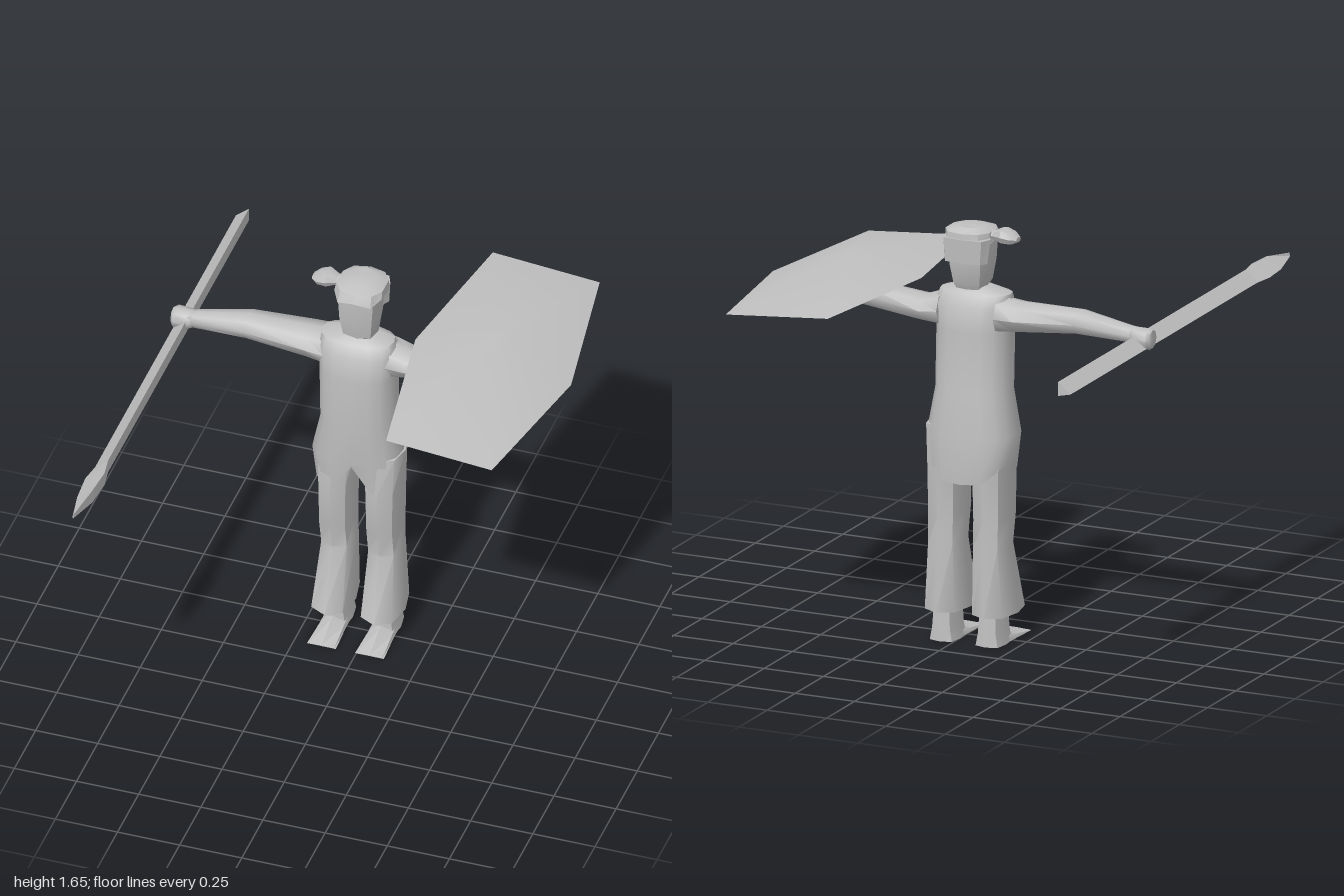
import * as THREE from 'three';
import { toCreasedNormals } from 'three/addons/utils/BufferGeometryUtils.js';

const grey = new THREE.MeshStandardMaterial({ color: 0xc0c0c0, side: THREE.DoubleSide });
grey.name = 'plain grey';

// Skin a list of equal-length rings of [x, y, z]; optionally close each end with a fan.
function loft(rings, { capStart = true, capEnd = true, crease = 0.9 } = {}) {
  const n = rings[0].length;
  const pos = rings.flat(2);
  const index = [];
  for (let r = 0; r < rings.length - 1; r++) {
    for (let i = 0; i < n; i++) {
      const a = r * n + i, b = r * n + (i + 1) % n;
      index.push(a, b, b + n, a, b + n, a + n);
    }
  }
  const cap = (r, flip) => {
    const c = pos.length / 3;
    for (let k = 0; k < 3; k++) pos.push(rings[r].reduce((s, p) => s + p[k], 0) / n);
    for (let i = 0; i < n; i++) {
      const a = r * n + i, b = r * n + (i + 1) % n;
      if (flip) index.push(c, b, a);
      else index.push(c, a, b);
    }
  };
  if (capStart) cap(0, true);
  if (capEnd) cap(rings.length - 1, false);
  const g = new THREE.BufferGeometry();
  g.setAttribute('position', new THREE.Float32BufferAttribute(pos, 3));
  g.setIndex(index);
  return toCreasedNormals(g, crease);
}

// Rounded-square ring points; "power" below 1 makes the outline boxier.
const ringOf = (n, power, turn, fn) => Array.from({ length: n }, (_, i) => {
  const a = (i / n) * Math.PI * 2 + turn;
  const soft = v => Math.sign(v) * Math.abs(v) ** power;
  return fn(soft(Math.sin(a)), soft(Math.cos(a)), i);
});

// Upright ring from x0..x1 and zBack..zFront
const level = (y, x0, x1, zb, zf, n = 8, power = 0.8, turn = 0) => ringOf(n, power, turn, (s, c) =>
  [(x0 + x1) / 2 + s * (x1 - x0) / 2, y, (zb + zf) / 2 + c * (zf - zb) / 2]);

// Ring across an arm
const slice = (x, y0, y1, zb, zf) => ringOf(8, 0.9, 0, (s, c) =>
  [x, (y0 + y1) / 2 + c * (y1 - y0) / 2, (zb + zf) / 2 + s * (zf - zb) / 2]);

export function createModel() {
  const model = new THREE.Group();
  model.name = 'figure';
  const add = (name, geometry, parent = model) => {
    const m = new THREE.Mesh(geometry, grey);
    m.name = name;
    parent.add(m);
    return m;
  };

  // Tunic with a ragged hem, slit in front and longer behind
  const hemY = [0.82, 0.70, 0.76, 0.70, 0.72, 0.74, 0.70, 0.65, 0.645, 0.65, 0.69, 0.72, 0.70, 0.69, 0.73, 0.69];
  const hem = level(0, -0.22, 0.122, -0.425, -0.185, 16).map((p, i) => [p[0], hemY[i], p[2]]);
  add('tunic', loft([
    hem,
    level(0.835, -0.238, 0.125, -0.433, -0.18, 16),
    level(1.0, -0.20, 0.10, -0.405, -0.175, 16),
    level(1.24, -0.20, 0.10, -0.395, -0.165, 16),
    level(1.34, -0.205, 0.105, -0.39, -0.18, 16),
    level(1.385, -0.20, 0.09, -0.36, -0.21, 16),
    level(1.415, -0.09, -0.01, -0.33, -0.25, 16),
  ], { capStart: false }));

  // Legs with flared cuffs, and wedge-toed feet
  for (const [side, cx] of [['right', -0.14], ['left', 0.053]]) {
    const leg = new THREE.Group();
    leg.name = side + 'Leg';
    leg.position.x = cx;
    model.add(leg);
    const out = side === 'left' ? 1 : -1;
    const inner = (a, b) => (out > 0 ? [-a, b] : [-b, a]);
    add(side + 'Trouser', loft([
      level(0.12, ...inner(0.08, 0.086), -0.41, -0.14),
      level(0.39, ...inner(0.07, 0.066), -0.405, -0.22),
      level(0.50, ...inner(0.07, 0.067), -0.405, -0.195),
      level(0.70, ...inner(0.074, 0.07), -0.41, -0.19),
      level(0.86, ...inner(0.082, 0.076), -0.41, -0.20),
    ], { capStart: false }), leg);
    add(side + 'Ankle', loft([
      level(0.0, -0.055, 0.055, -0.387, -0.235, 8, 0.5),
      level(0.05, -0.046, 0.046, -0.387, -0.235, 8, 0.6),
      level(0.17, -0.04, 0.04, -0.38, -0.235, 8, 0.7),
    ]), leg);
    // Low ridge running forward to a flat toe
    const toe = (z, w, h) => [[w, 0, z], [w * 0.9, h * 0.35, z], [0, h, z], [-w * 0.9, h * 0.35, z], [-w, 0, z]];
    add(side + 'Toe', loft([toe(-0.30, 0.05, 0.07), toe(-0.22, 0.052, 0.045), toe(-0.10, 0.058, 0.004)],
      { crease: 0.5 }), leg);
  }

  // Right arm with a fist around the spear
  add('rightArm', loft([
    slice(-0.725, 1.258, 1.325, -0.325, -0.257),
    slice(-0.50, 1.268, 1.367, -0.36, -0.235),
    slice(-0.25, 1.246, 1.367, -0.388, -0.218),
    slice(-0.17, 1.235, 1.375, -0.385, -0.21),
  ]));
  add('rightHand', loft([
    slice(-0.803, 1.25, 1.32, -0.325, -0.262),
    slice(-0.79, 1.24, 1.326, -0.338, -0.25),
    slice(-0.74, 1.245, 1.326, -0.335, -0.25),
    slice(-0.71, 1.259, 1.328, -0.322, -0.26),
  ]));

  // Left arm with a fist under the shield
  add('leftArm', loft([
    slice(0.07, 1.235, 1.375, -0.38, -0.21),
    slice(0.15, 1.245, 1.346, -0.375, -0.22),
    slice(0.40, 1.27, 1.375, -0.355, -0.24),
    slice(0.65, 1.262, 1.333, -0.325, -0.26),
  ]));
  add('leftHand', loft([
    slice(0.63, 1.263, 1.335, -0.325, -0.26),
    slice(0.69, 1.255, 1.337, -0.338, -0.25),
    slice(0.715, 1.256, 1.337, -0.335, -0.253),
    slice(0.722, 1.27, 1.325, -0.32, -0.268),
  ]));

  // Head, narrowing to a square jaw
  add('head', loft([
    level(1.40, -0.10, 0.015, -0.35, -0.24, 8, 0.6),
    level(1.42, -0.11, 0.026, -0.36, -0.215, 8, 0.6),
    level(1.50, -0.122, 0.037, -0.38, -0.198, 8, 0.6),
    level(1.61, -0.13, 0.046, -0.385, -0.195, 8, 0.6),
  ], { crease: 0.6 }));

  // Hair cap, hair down the back, and a side knot
  const wavy = level(1.60, -0.142, 0.056, -0.40, -0.182, 10, 0.75)
    .map((p, i) => [p[0], p[1] + (i % 2 ? -0.012 : 0.006), p[2]]);
  add('hairCap', loft([
    wavy,
    level(1.632, -0.138, 0.054, -0.397, -0.20, 10, 0.8),
    level(1.65, -0.10, 0.005, -0.365, -0.255, 10),
  ], { crease: 0.5 }));
  add('backHair', loft([
    level(1.515, -0.135, 0.045, -0.395, -0.32, 8, 0.6),
    level(1.61, -0.145, 0.052, -0.402, -0.30, 8, 0.6),
  ], { crease: 0.5 }));
  add('hairKnot', loft([
    slice(-0.24, 1.60, 1.62, -0.32, -0.28),
    slice(-0.215, 1.588, 1.64, -0.34, -0.26),
    slice(-0.18, 1.587, 1.653, -0.345, -0.255),
    slice(-0.14, 1.60, 1.635, -0.325, -0.275),
    slice(-0.09, 1.595, 1.64, -0.335, -0.265),
  ], { crease: 0.5 }));

  // Three-sided spear: plain shaft, swollen head, point
  const prism = (z, w, h) => [[-0.026, -0.016], [0.026, -0.028], [0.026, 0.028]]
    .map(([x, y]) => [-0.765 + x * w, 1.268 + y * h, z]);
  add('spearShaft', loft([prism(-1.0, 1, 1), prism(0.67, 1, 1)], { crease: 0.5 }));
  add('spearHead', loft([
    prism(0.66, 1, 1), prism(0.74, 1.5, 1.02), prism(0.86, 1.15, 1), prism(1.0, 0.08, 0.3),
  ], { crease: 0.5 }));

  // Six-sided shield, a shallow tilted pyramid with a flat underside
  const plan = [[0.265, 0.325], [0.69, 0.325], [0.80, -0.29], [0.70, -0.92], [0.27, -0.92], [0.17, -0.30]];
  const rim = plan.map(([x, z]) => [x, 1.405 - (x - 0.17) * 0.087, z]);
  add('shield', loft([rim, rim.map(() => [0.49, 1.475, -0.30])], { capEnd: false, crease: 0.6 }));

  return model;
}
